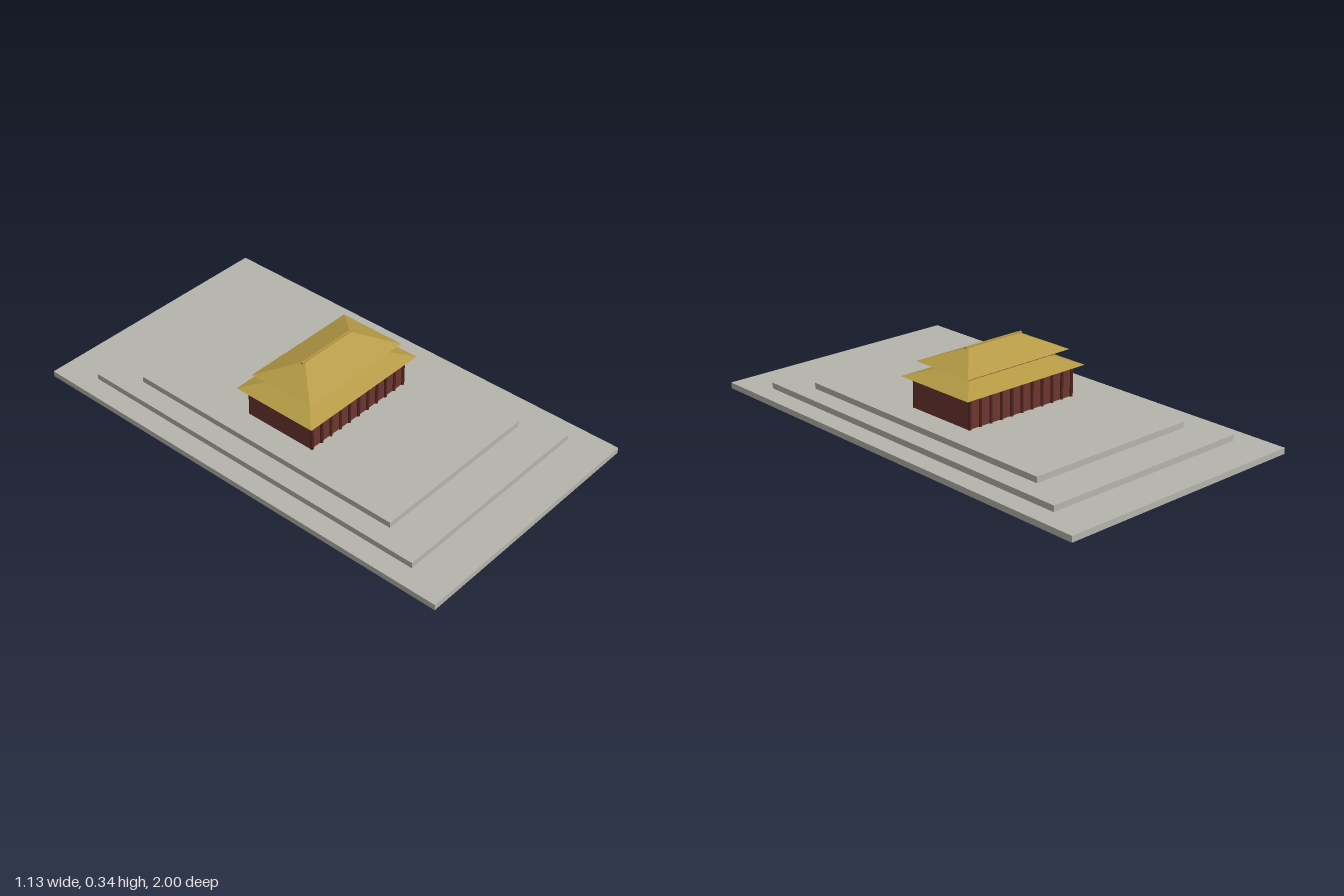
import * as THREE from 'three';

const mat = (name, color) => {
  const m = new THREE.MeshStandardMaterial({ color });
  m.name = name;
  return m;
};

// Closed hip roof: rectangular eaves rising to a ridge along x
function hipRoof(halfX, halfZ, ridge, y0, y1) {
  const a = [-halfX, y0, halfZ], b = [halfX, y0, halfZ];
  const c = [halfX, y0, -halfZ], d = [-halfX, y0, -halfZ];
  const l = [-ridge, y1, 0], r = [ridge, y1, 0];
  const tris = [a, b, r, a, r, l, c, d, l, c, l, r, b, c, r, d, a, l, a, d, c, a, c, b];
  const g = new THREE.BufferGeometry();
  g.setAttribute('position', new THREE.Float32BufferAttribute(tris.flat(), 3));
  g.computeVertexNormals();
  return g;
}

export function createModel() {
  const model = new THREE.Group();
  model.name = 'palaceHall';
  const stone = mat('paleStone', 0xb5b4ac);
  const wall = mat('darkRedWall', 0x6e352e);
  const pillar = mat('deepRedPillar', 0x4e2420);
  const upperRed = mat('brightRedWall', 0x96483f);
  const beam = mat('blueGreyBeam', 0x5a6878);
  const tile = mat('goldenTile', 0xb59a45);

  const add = (name, geometry, material) => {
    const mesh = new THREE.Mesh(geometry, material);
    mesh.name = name;
    model.add(mesh);
    return mesh;
  };
  // Box centred on x and z, given half extents and bottom and top heights
  const slab = (name, hx, hz, y0, y1, material) => {
    add(name, new THREE.BoxGeometry(hx * 2, y1 - y0, hz * 2), material).position.y = (y0 + y1) / 2;
  };

  // Three stepped terraces
  [[0.565, 1], [0.478, 0.825], [0.39, 0.65]].forEach(([hx, hz], i) =>
    slab('terrace' + (i + 1), hx, hz, i * 0.025, (i + 1) * 0.025, stone));

  // Main hall with a beam under the eaves
  slab('hallWall', 0.275, 0.16, 0.075, 0.198, wall);
  slab('eavesBeam', 0.285, 0.17, 0.197, 0.206, beam);

  // Rows of pillars along front and back
  const pillarShape = new THREE.CylinderGeometry(0.007, 0.007, 0.122, 10);
  for (const z of [-0.161, 0.161]) {
    for (let i = -5; i <= 5; i++) {
      add('pillar', pillarShape, pillar).position.set(i * 0.054, 0.136, z);
    }
  }

  // Double roof with a red storey between
  add('lowerRoof', hipRoof(0.31, 0.195, 0.12, 0.206, 0.271), tile);
  slab('upperWall', 0.226, 0.11, 0.248, 0.272, upperRed);
  add('upperRoof', hipRoof(0.268, 0.15, 0.13, 0.27, 0.332), tile);
  slab('roofRidge', 0.147, 0.004, 0.328, 0.336, tile);
  return model;
}
